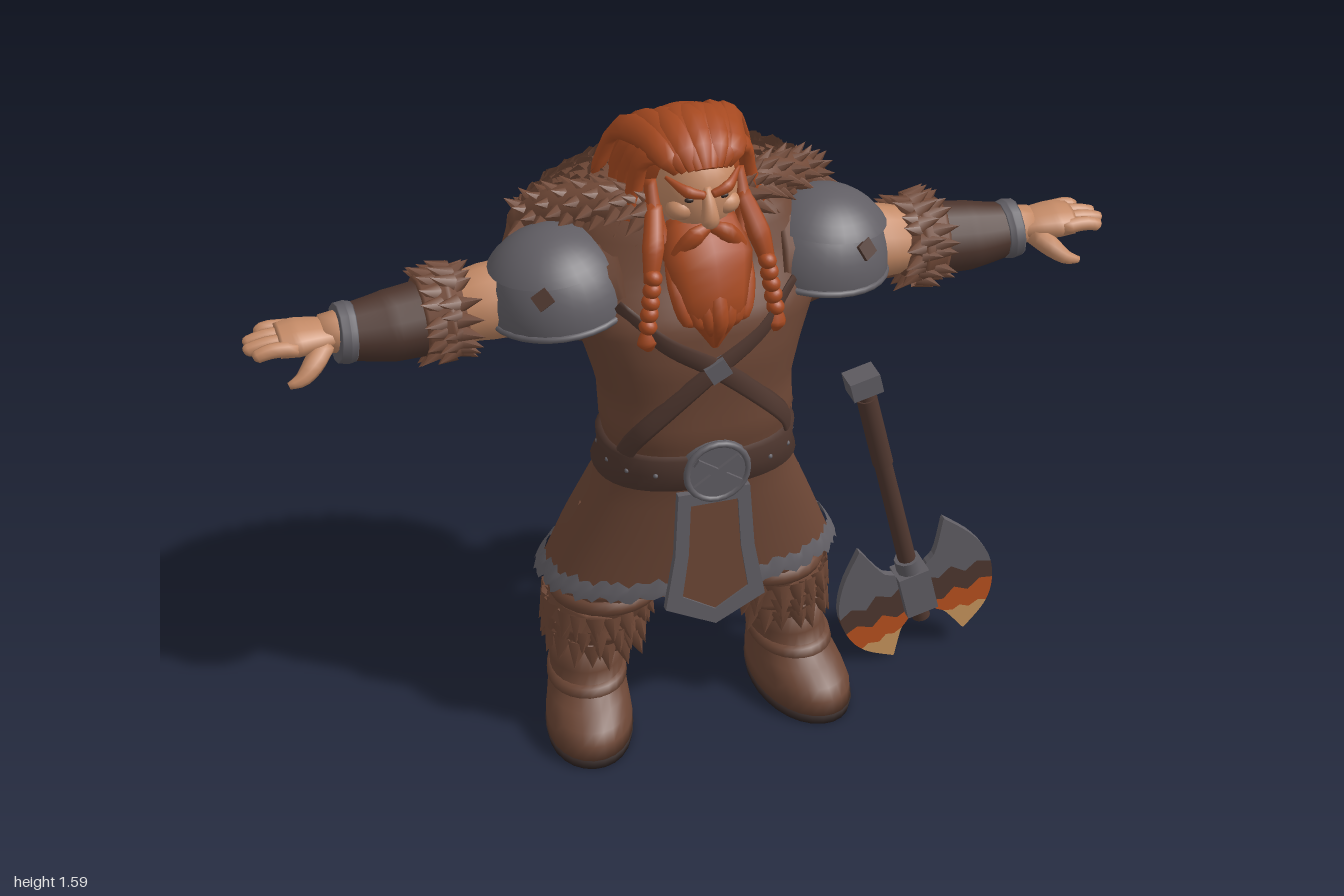
import * as THREE from 'three';
import { mergeGeometries } from 'three/addons/utils/BufferGeometryUtils.js';

const V = (x, y, z) => new THREE.Vector3(x, y, z);
const mat = (name, color, side = THREE.FrontSide) => Object.assign(new THREE.MeshStandardMaterial({ color, side }), { name });

export function createModel() {
  const M = {
    tunic: mat('brown tunic', 0x6c4635, THREE.DoubleSide), fur: mat('brown fur', 0x724a38, THREE.DoubleSide),
    leather: mat('dark leather', 0x4f372f), steel: mat('grey steel', 0x615e64, THREE.DoubleSide),
    skin: mat('skin', 0xc48a66), hair: mat('red hair', 0xa64920), sole: mat('black sole', 0x2f2321),
    ember: mat('ember orange', 0xb9511f), gold: mat('ember gold', 0xc9955c),
  };
  const model = new THREE.Group();
  let seed = 7;
  const rnd = () => (seed = (seed * 16807) % 2147483647) / 2147483647;

  function add(name, geo, material, pos = [0, 0, 0], rot = [0, 0, 0], scale = [1, 1, 1], parent = model) {
    const m = new THREE.Mesh(geo, material);
    m.name = name;
    m.position.set(...pos); m.rotation.set(...rot); m.scale.set(...scale);
    parent.add(m);
    return m;
  }

  // Skin a list of closed rings
  function loft(rings, capped = true) {
    const n = rings[0].length, pts = rings.flat(), idx = [], last = (rings.length - 1) * n;
    for (let i = 0; i < rings.length - 1; i++) for (let j = 0; j < n; j++) {
      const a = i * n + j, b = i * n + (j + 1) % n;
      idx.push(a, b, b + n, a, b + n, a + n);
    }
    if (capped) {
      const mid = r => r.reduce((s, p) => s.add(p), V(0, 0, 0)).divideScalar(n);
      const c = pts.length;
      pts.push(mid(rings[0]), mid(rings[rings.length - 1]));
      for (let j = 0; j < n; j++) idx.push(c, (j + 1) % n, j, c + 1, last + j, last + (j + 1) % n);
    }
    const g = new THREE.BufferGeometry().setFromPoints(pts);
    g.setIndex(idx);
    g.computeVertexNormals();
    return g;
  }

  // Tapered tube along a curve; flat is thickness over width, ref points along the thin side
  function limb(points, radii, flat = 1, ref = V(0, 0, 1), sides = 12, steps = 16) {
    const curve = new THREE.CatmullRomCurve3(points.map(p => V(...p))), rings = [];
    for (let i = 0; i <= steps; i++) {
      const t = i / steps, p = curve.getPoint(t), T = curve.getTangent(t);
      const k = t * (radii.length - 1), a = Math.min(Math.floor(k), radii.length - 2);
      const r = THREE.MathUtils.lerp(radii[a], radii[a + 1], k - a);
      const side = (typeof ref === 'function' ? ref(p) : ref).clone().cross(T).normalize(), nrm = T.clone().cross(side);
      rings.push(Array.from({ length: sides }, (_, j) => {
        const q = j / sides * Math.PI * 2;
        return p.clone().addScaledVector(side, r * Math.cos(q)).addScaledVector(nrm, r * flat * Math.sin(q));
      }));
    }
    return loft(rings);
  }

  // Pointed fur tufts: [position, direction, length, width]
  function tufts(list) {
    return mergeGeometries(list.map(([p, d, len, w]) => {
      const dir = d.clone().normalize();
      const q = new THREE.Quaternion().setFromUnitVectors(V(0, 1, 0), dir);
      return new THREE.ConeGeometry(w, len, 6, 1, true).applyQuaternion(q)
        .translate(...p.clone().addScaledVector(dir, len * 0.3).toArray());
    }));
  }
  const ringTufts = (c, u, v, flow, n, len, w) => Array.from({ length: n }, (_, i) => {
    const q = (i + rnd() * 0.6) / n * Math.PI * 2;
    const r = u.clone().multiplyScalar(Math.cos(q)).addScaledVector(v, Math.sin(q));
    return [c.clone().add(r), r.clone().normalize().multiplyScalar(0.25).add(flow), len * (0.8 + rnd() * 0.4), w];
  });

  // Body profile: height, half width, centre z, half depth
  const body = [[0.42, 0.352, 0.035, 0.182], [0.55, 0.3, 0.05, 0.175], [0.7, 0.235, 0.08, 0.155], [0.78, 0.205, 0.1, 0.145],
    [0.87, 0.222, 0.105, 0.155], [0.95, 0.222, 0.09, 0.168], [1.05, 0.25, 0.075, 0.185], [1.15, 0.292, 0.055, 0.188],
    [1.25, 0.295, 0.02, 0.165], [1.35, 0.23, 0.015, 0.135], [1.42, 0.1, 0.03, 0.09]];
  function bodyPt(y, q, off = 0) {
    let i = 0;
    while (i < body.length - 2 && y > body[i + 1][0]) i++;
    const k = (y - body[i][0]) / (body[i + 1][0] - body[i][0]);
    const [rx, cz, rz] = [1, 2, 3].map(c => THREE.MathUtils.lerp(body[i][c], body[i + 1][c], k));
    const pw = v => Math.sign(v) * Math.abs(v) ** 0.85;
    return V((rx + off) * pw(Math.sin(q)), y, cz + (rz + off) * pw(Math.cos(q)));
  }
  const bodyRing = (y, off) => Array.from({ length: 40 }, (_, j) => bodyPt(y, j / 40 * Math.PI * 2, off));
  add('tunic', loft(Array.from({ length: 41 }, (_, i) => bodyRing(0.42 + i * 0.025, 0)), false), M.tunic);
  // Ragged hem band
  add('hemTrim', loft([0, 1, 2].map(r => Array.from({ length: 120 }, (_, j) =>
    bodyPt([0.425, 0.445, 0.468][r] + (r === 1 ? 0 : 0.008 * Math.sin(j * 2.2 + r) + 0.005 * Math.sin(j * 0.9)), j / 120 * Math.PI * 2, [0.014, 0.013, 0.006][r]))), false), M.steel);

  // Belt, buckle, pouch and hanging front panel
  add('belt', loft([[0.73, 0], [0.735, 0.016], [0.775, 0.018], [0.82, 0.016], [0.825, 0]].map(a => bodyRing(...a)), false), M.leather);
  for (let i = 0; i < 16; i++)
    add('beltStud', new THREE.SphereGeometry(0.006, 8, 6), M.steel, bodyPt(0.78, (i + 0.5) / 16 * Math.PI * 2, 0.018).toArray());
  add('buckle', new THREE.CylinderGeometry(0.072, 0.08, 0.03, 20), M.steel, [0, 0.785, 0.258], [Math.PI / 2, 0, 0]);
  add('buckleRim', new THREE.TorusGeometry(0.072, 0.008, 8, 24), M.steel, [0, 0.785, 0.27]);
  for (const a of [0.6, -0.6]) add('buckleCross', new THREE.BoxGeometry(0.125, 0.02, 0.012), M.steel, [0, 0.785, 0.275], [0, 0, a]);
  add('pouch', new THREE.SphereGeometry(1, 16, 12), M.tunic, [0.232, 0.745, -0.015], [0, 0, 0], [0.042, 0.055, 0.05]);
  add('pouchFlap', new THREE.SphereGeometry(1, 16, 8, 0, Math.PI * 2, 0, 1.4), M.leather, [0.232, 0.758, -0.015], [0, 0, 0], [0.045, 0.048, 0.053]);
  const panel = k => [[-0.085, 0.36], [-0.095, 0.2], [-0.12, 0.06], [0, 0], [0.12, 0.06], [0.095, 0.2], [0.085, 0.36]]
    .map(([x, y]) => new THREE.Vector2(x * k, 0.2 + (y - 0.2) * (k < 1 ? 0.8 : 1)));
  const border = new THREE.Shape(panel(1));
  border.holes.push(new THREE.Path(panel(0.66)));
  add('frontPanelTrim', new THREE.ExtrudeGeometry(border, { depth: 0.018, bevelEnabled: false }), M.steel, [0, 0.36, 0.25], [-0.05, 0, 0]);
  add('frontPanel', new THREE.ExtrudeGeometry(new THREE.Shape(panel(0.85)), { depth: 0.012, bevelEnabled: false }), M.tunic, [0, 0.36, 0.251], [-0.05, 0, 0]);
  add('chestClasp', new THREE.BoxGeometry(0.05, 0.045, 0.02), M.steel, [0, 1.05, 0.267], [0, 0, 0.5]);

  // Fur mantle on the back
  const mantle = { c: V(0, 1.237, -0.095), r: V(0.375, 0.19, 0.168) };
  add('mantle', new THREE.SphereGeometry(1, 32, 20), M.fur, mantle.c.toArray(), [0, 0, 0], mantle.r.toArray());
  const mantleFur = [];
  for (let i = 0; i < 460; i++) {
    const ny = 1 - 2 * (i + 0.5) / 460, h = Math.sqrt(1 - ny * ny), a = i * 2.39996;
    const n = V(h * Math.cos(a), ny, h * Math.sin(a));
    if (n.z > 0.45) continue;
    mantleFur.push([n.clone().multiply(mantle.r).multiplyScalar(0.95).add(mantle.c),
      V(n.x * 0.5 + (rnd() - 0.5) * 0.4, n.y * 0.25 - 0.65, n.z * 0.5 - (ny > 0.5 ? 0.7 : 0)), 0.07 + rnd() * 0.03, 0.033]);
  }
  add('mantleFur', tufts(mantleFur), M.fur);

  // Face
  const ball = new THREE.SphereGeometry(1, 20, 14);
  add('neck', new THREE.CylinderGeometry(0.08, 0.1, 0.14, 16), M.skin, [0, 1.36, 0.05]);
  add('face', ball, M.skin, [0, 1.425, 0.1], [0, 0, 0], [0.092, 0.115, 0.093]);
  add('nose', limb([[0, 1.46, 0.18], [0, 1.425, 0.2], [0, 1.393, 0.205], [0, 1.385, 0.185]], [0.01, 0.016, 0.022, 0.012]), M.skin);

  // Hair and beard locks
  const lock = (name, pts, radii, flat = 0.5, ref) => add(name, limb(pts, radii, flat, ref, 8, 12), M.hair);
  add('hairCap', ball, M.hair, [0, 1.455, 0.02], [0, 0, 0], [0.125, 0.12, 0.118]);
  for (let i = -4; i <= 4; i++) {
    const u = i / 4, drop = 0.025 * u * u, odd = i % 2 ? 0.012 : 0;
    lock('topLock', [[u * 0.055, 1.505 - drop * 0.6, 0.182 - drop * 1.2], [u * 0.08, 1.55 - drop - odd * 0.5, 0.14], [u * 0.1, 1.572 - drop * 1.4, 0.04],
      [u * 0.13, 1.505 + odd * 0.5, -0.058], [u * 0.165, 1.41, -0.085], [u * 0.185, 1.355 + odd, -0.1 - odd]],
    [0.012, 0.028, 0.034, 0.036, 0.034, 0.008], 0.5, p => V(p.x, p.y - 1.43, p.z - 0.03));
  }
  lock('beard', [[0, 1.36, 0.13], [0, 1.3, 0.2], [0, 1.2, 0.25], [0, 1.1, 0.25]], [0.085, 0.1, 0.075, 0.008], 0.5);
  for (let i = -3; i <= 3; i++)
    lock('beardLock', [[i * 0.024, 1.335, 0.185 - Math.abs(i) * 0.012], [i * 0.026, 1.25, 0.255 - Math.abs(i) * 0.012],
      [i * 0.02, 1.18, 0.283 - Math.abs(i) * 0.01], [i * 0.012, 1.105 + Math.abs(i) * 0.022, 0.255]], [0.018, 0.022, 0.02, 0.004], 0.8);

  for (const s of [1, -1]) {
    // Head details
    add('eye', ball, M.sole, [s * 0.037, 1.435, 0.181], [0, 0, 0], [0.013, 0.006, 0.006]);
    lock('brow', [[s * 0.008, 1.447, 0.193], [s * 0.045, 1.46, 0.19], [s * 0.083, 1.482, 0.15]], [0.01, 0.014, 0.004], 0.8);
    add('cheek', ball, M.skin, [s * 0.05, 1.405, 0.155], [0, 0, 0], [0.033, 0.026, 0.03]);
    lock('moustache', [[0, 1.375, 0.2], [s * 0.035, 1.362, 0.212], [s * 0.07, 1.315, 0.2], [s * 0.085, 1.25, 0.21]], [0.012, 0.022, 0.018, 0.003], 0.8);
    lock('sideburn', [[s * 0.1, 1.45, 0.09], [s * 0.1, 1.38, 0.12], [s * 0.08, 1.29, 0.17]], [0.02, 0.03, 0.02], 0.7, V(1, 0, 0));
    for (let i = 0; i < 3; i++)
      lock('sideLock', [[s * 0.05, 1.525, 0.14 - i * 0.04], [s * 0.112, 1.505, 0.09 - i * 0.04], [s * (0.13 + i * 0.004), 1.43, 0.075 - i * 0.05],
        [s * 0.15, 1.37, 0.085 - i * 0.05], [s * (0.18 - i * 0.004), 1.32 + i * 0.02, 0.07 - i * 0.05]], [0.015, 0.028, 0.03, 0.028, 0.005], 0.6, V(s, 0.3, 0));
    lock('braidRoot', [[s * 0.1, 1.4, 0.12], [s * 0.12, 1.33, 0.18], [s * 0.135, 1.26, 0.21]], [0.02, 0.026, 0.016], 0.9);
    for (let i = 0; i < 5; i++)
      add('braidKnot', ball, M.hair, [s * (0.13 + i * 0.004), 1.275 - i * 0.028, 0.212 + i * 0.003], [0, 0, i % 2 ? 0.5 : -0.5], [0.021, 0.019, 0.02]);
    lock('braidTip', [[s * 0.146, 1.155, 0.222], [s * 0.146, 1.125, 0.224], [s * 0.135, 1.09, 0.22]], [0.014, 0.026, 0.003], 0.8);

    // Crossed strap, tucked under the belt at the side
    const strap = [[0.7, 1.2], [0.35, 1.12], [0, 1.05], [-0.45, 0.95], [-0.85, 0.87], [-1.3, 0.78], [-2, 0.79], [-2.7, 0.95], [-3.5, 1.13]];
    add('strap', limb(strap.map(([q, y]) => bodyPt(y, s * q, 0.003).toArray()), [0.023, 0.023], 0.3, p => V(p.x, 0, p.z - 0.07), 8, 48), M.leather);

    // Fur collar over the shoulder
    const path = [[0.1, 1.37, 0.1], [0.17, 1.375, 0.04], [0.27, 1.345, -0.03], [0.345, 1.28, -0.1]].map(([x, y, z]) => [s * x, y, z]);
    add('collar', limb(path, [0.035, 0.05, 0.05, 0.04]), M.fur);
    const cc = new THREE.CatmullRomCurve3(path.map(p => V(...p)));
    add('collarFur', tufts(Array.from({ length: 70 }, (_, i) => {
      const q = i * 2.4, n = V(s * 0.5 * Math.sin(q), Math.cos(q), Math.sin(q));
      return [cc.getPoint(i / 69).addScaledVector(n, 0.032), n.clone().add(V(s * 0.9, -0.3, 0.1)), 0.065, 0.025];
    })), M.fur);

    // Shoulder plate
    const plate = new THREE.Group();
    plate.name = 'shoulderPlate';
    plate.position.set(s * 0.3, 1.168, 0.058);
    plate.rotation.z = -0.1 * s;
    model.add(plate);
    add('plateDome', new THREE.SphereGeometry(1, 28, 12, 0, Math.PI * 2, 0, 1.65), M.steel, [0, 0, 0], [0, 0, 0], [0.162, 0.168, 0.157], plate);
    add('plateRim', new THREE.TorusGeometry(1, 0.045, 8, 32), M.steel, [0, -0.008, 0], [Math.PI / 2, 0, 0], [0.16, 0.156, 0.18], plate);
    add('plateRidge', new THREE.SphereGeometry(1, 28, 8, 0, Math.PI * 2, 0, 0.95), M.steel, [s * 0.008, 0.006, 0], [0, 0, 0], [0.172, 0.171, 0.164], plate);
    const n = V(s * 0.35, 0.5, 0.8).normalize();
    add('plateDiamond', new THREE.BoxGeometry(0.038, 0.038, 0.008).rotateZ(0.5), M.leather, n.clone().multiply(V(0.178, 0.178, 0.164)).toArray(), [0, 0, 0], [1, 1, 1], plate)
      .quaternion.setFromUnitVectors(V(0, 0, 1), n);

    // Arm
    const X = pts => pts.map(([x, y, z]) => [s * x, y, z]);
    add('sleeve', limb(X([[0.18, 1.19, 0.03], [0.29, 1.183, 0.03], [0.385, 1.175, 0.03]]), [0.155, 0.122, 0.092]), M.tunic);
    add('arm', limb(X([[0.33, 1.175, 0.03], [0.46, 1.17, 0.025], [0.55, 1.155, 0.02], [0.68, 1.155, 0.03], [0.83, 1.16, 0.035]]), [0.09, 0.086, 0.072, 0.065, 0.042]), M.skin);
    add('bracer', limb(X([[0.57, 1.155, 0.022], [0.68, 1.15, 0.03], [0.785, 1.153, 0.035]]), [0.086, 0.08, 0.06]), M.leather);
    add('bracerTrim', limb(X([[0.758, 1.152, 0.034], [0.775, 1.153, 0.034], [0.798, 1.155, 0.035]]), [0.066, 0.07, 0.066]), M.steel);
    add('cuff', limb(X([[0.505, 1.158, 0.02], [0.55, 1.157, 0.02], [0.61, 1.155, 0.022]]), [0.075, 0.105, 0.09]), M.fur);
    add('cuffFur', tufts([0.525, 0.55, 0.585].flatMap((x, i) => ringTufts(V(s * x, 1.157, 0.02), V(0, i === 1 ? 0.1 : 0.088, 0), V(0, 0, 0.09),
      V((i < 1 ? -1 : 1) * s * 0.4, 0, 0), 17, 0.052, 0.022))), M.fur);

    // Hand
    add('palm', limb(X([[0.8, 1.158, 0.035], [0.84, 1.162, 0.037], [0.885, 1.162, 0.038], [0.925, 1.16, 0.038]]), [0.042, 0.054, 0.063, 0.056], 0.6, V(0, 1, 0)), M.skin);
    [0.966, 0.995, 1.0, 0.985].forEach((x, i) => {
      const z = -0.012 + i * 0.032;
      add('finger', limb(X([[0.89, 1.162, z], [0.945, 1.165, z], [x - 0.006, 1.156, z], [x, 1.153, z]]), [0.018, 0.0175, 0.015, 0.007], 1, V(0, 1, 0), 8, 8), M.skin);
    });
    add('thumb', limb(X([[0.83, 1.148, 0.065], [0.86, 1.125, 0.1], [0.89, 1.103, 0.118], [0.92, 1.094, 0.122]]), [0.026, 0.024, 0.017, 0.008], 1, V(0, 1, 0), 8, 8), M.skin);

    // Leg and fur topped boot
    add('trouserLeg', limb([[s * 0.23, 0.26, 0.03], [s * 0.21, 0.36, 0.035], [s * 0.188, 0.45, 0.045], [s * 0.15, 0.6, 0.07]], [0.1, 0.125, 0.135, 0.12]), M.tunic);
    for (const y of [0.375, 0.415]) add('legWrap', new THREE.TorusGeometry(0.11, 0.028, 10, 24), M.tunic, [s * (0.295 - y * 0.25), y, 0.037], [Math.PI / 2, 0, 0]);
    add('bootCuff', limb([[s * 0.232, 0.225, 0.03], [s * 0.224, 0.29, 0.03], [s * 0.217, 0.355, 0.035]], [0.098, 0.125, 0.115], 1.05), M.fur);
    add('bootCuffFur', tufts([0.255, 0.29, 0.33].flatMap((y, i) =>
      ringTufts(V(s * (0.23 - i * 0.005), y, 0.03), V(0.106 + i * 0.004, 0, 0), V(0, 0, 0.122), V(0, -0.5, 0), 18, 0.06, 0.028))), M.fur);
    const foot = rows => loft(rows.map(([y, rx, cz, rz]) => Array.from({ length: 28 }, (_, j) => {
      const q = j / 28 * Math.PI * 2;
      return V(rx * (1 + 0.14 * Math.cos(q)) * Math.sin(q), y, cz + rz * Math.cos(q));
    })));
    const boot = new THREE.Group();
    boot.name = 'boot';
    boot.position.set(s * 0.248, 0, 0.02);
    boot.rotation.y = s * 0.2;
    model.add(boot);
    add('sole', foot([[0, 0.1, 0.07, 0.185], [0.025, 0.104, 0.07, 0.19]]), M.sole, [0, 0, 0], [0, 0, 0], [1, 1, 1], boot);
    add('bootUpper', foot([[0.024, 0.102, 0.07, 0.187], [0.06, 0.102, 0.067, 0.184], [0.085, 0.098, 0.058, 0.172], [0.11, 0.094, 0.038, 0.148], [0.135, 0.088, 0.018, 0.125],
      [0.18, 0.086, 0.006, 0.113], [0.26, 0.092, 0.005, 0.113]]), M.tunic, [0, 0, 0], [0, 0, 0], [1, 1, 1], boot);
    add('ankleBand', foot([[0.135, 0.08, 0.018, 0.115], [0.14, 0.095, 0.016, 0.13], [0.158, 0.093, 0.01, 0.125], [0.163, 0.08, 0.008, 0.11]]), M.tunic, [0, 0, 0], [0.06, 0, 0], [1, 1, 1], boot);
  }

  // Double axe resting beside the figure
  const axe = new THREE.Group();
  axe.name = 'axe';
  axe.position.set(0.58, 0.19, 0.06);
  axe.rotation.z = 0.245;
  model.add(axe);
  const part = (name, geo, m, y, z = 0) => add(name, geo, m, [0, y, z], [0, 0, 0], [1, 1, 1], axe);
  part('axeHandle', new THREE.CylinderGeometry(0.021, 0.023, 0.73, 10), M.leather, 0.275);
  part('axeGrip', new THREE.CylinderGeometry(0.025, 0.025, 0.2, 10), M.leather, 0.5);
  part('axePommel', new THREE.BoxGeometry(0.075, 0.05, 0.062), M.steel, 0.645);
  part('axeHub', new THREE.BoxGeometry(0.08, 0.12, 0.068), M.steel, 0.005);
  part('axeCollar', new THREE.CylinderGeometry(0.032, 0.032, 0.04, 10), M.steel, 0.08);
  // Blade halves in jagged colour bands
  const curve = a => new THREE.SplineCurve(a.map(p => new THREE.Vector2(...p)));
  const outer = curve([[0.112, 0.178], [0.17, 0.1], [0.2, 0.02], [0.193, -0.06], [0.16, -0.12], [0.095, -0.169]]);
  const inner = curve([[0.108, 0.174], [0.07, 0.09], [0.035, 0.055], [0.03, -0.06], [0.06, -0.1], [0.092, -0.166]]);
  const run = (c, a, b) => Array.from({ length: 9 }, (_, i) => c.getPoint(a + (b - a) * i / 8));
  const cut = t => (t % 1 === 0 ? [] : [0.2, 0.4, 0.6, 0.8].map((k, i) => {
    const u = t + (i % 2 ? 0.025 : -0.025);
    return outer.getPoint(u).lerp(inner.getPoint(u), k);
  }));
  for (const s of [1, -1]) for (const [t0, t1, m] of [[0, 0.45, M.steel], [0.45, 0.57, M.leather], [0.57, 0.77, M.ember], [0.77, 1, M.gold]]) {
    const pts = [...run(outer, t0, t1), ...cut(t1), ...run(inner, t1, t0), ...cut(t0).reverse()].map(p => new THREE.Vector2(p.x * s, p.y));
    part('axeBlade', new THREE.ExtrudeGeometry(new THREE.Shape(pts), { depth: 0.02, bevelEnabled: false }), m, 0, -0.01);
  }
  return model;
}
